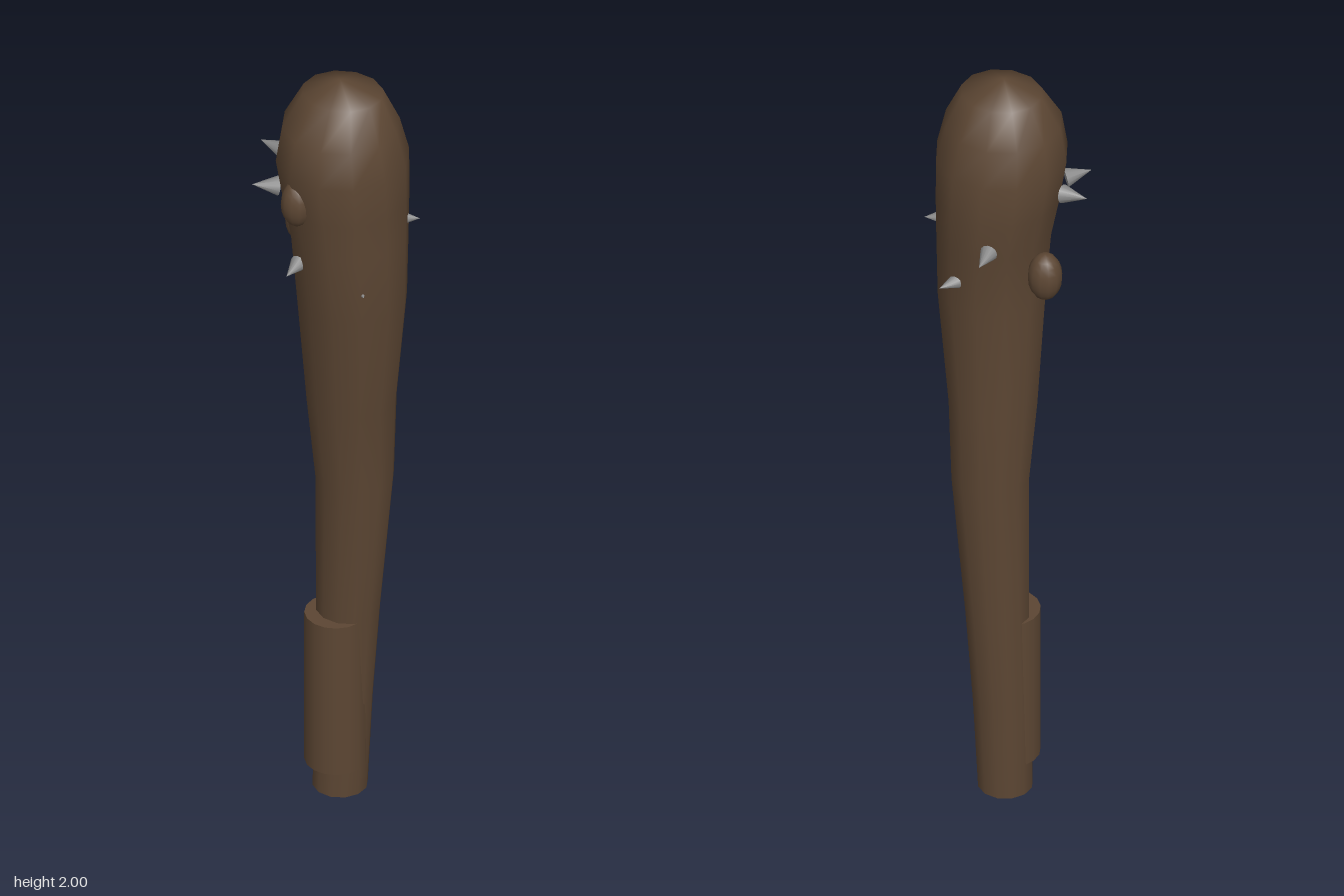
import * as THREE from 'three';

export function createModel() {
  const club = new THREE.Group();
  club.name = 'spikedClub';
  const wood = new THREE.MeshStandardMaterial({ color: 0x5c4633 });
  wood.name = 'brown wood';
  const metal = new THREE.MeshStandardMaterial({ color: 0x888888 });
  metal.name = 'grey metal';

  const add = (name, geometry, material) => {
    const mesh = new THREE.Mesh(geometry, material);
    mesh.name = name;
    club.add(mesh);
    return mesh;
  };

  // Trunk: twelve-sided loft; each row is y, min x, max x, min z, max z
  const sides = 12;
  const rings = [
    [0, -0.06, 0.07, -0.08, 0.05],
    [0.25, -0.057, 0.082, -0.085, 0.05],
    [0.5, -0.053, 0.1, -0.09, 0.053],
    [0.88, -0.05, 0.137, -0.096, 0.08],
    [1.1, -0.068, 0.146, -0.102, 0.102],
    [1.4, -0.08, 0.18, -0.1, 0.152],
    [1.58, -0.095, 0.18, -0.123, 0.165],
    [1.68, -0.114, 0.182, -0.13, 0.174],
    [1.79, -0.13, 0.183, -0.132, 0.187],
    [1.88, -0.115, 0.163, -0.105, 0.168],
    [1.965, -0.07, 0.123, -0.06, 0.112],
  ];
  const positions = [];
  const index = [];
  for (const [y, x0, x1, z0, z1] of rings) {
    for (let i = 0; i < sides; i++) {
      const a = (i / sides) * Math.PI * 2;
      positions.push((x0 + x1) / 2 + Math.sin(a) * (x1 - x0) / 2, y,
        (z0 + z1) / 2 + Math.cos(a) * (z1 - z0) / 2);
    }
  }
  for (let r = 0; r < rings.length - 1; r++) {
    for (let i = 0; i < sides; i++) {
      const a = r * sides + i;
      const b = r * sides + (i + 1) % sides;
      index.push(a, b, b + sides, a, b + sides, a + sides);
    }
  }
  // Rounded crown
  const apex = positions.length / 3;
  positions.push(0.022, 2, 0.03);
  const last = (rings.length - 1) * sides;
  for (let i = 0; i < sides; i++) index.push(last + i, last + (i + 1) % sides, apex);
  const trunk = new THREE.BufferGeometry();
  trunk.setAttribute('position', new THREE.Float32BufferAttribute(positions, 3));
  trunk.setIndex(index);
  trunk.computeVertexNormals();
  add('trunk', trunk, wood);

  // Flat underside of the trunk
  const base = add('trunkBase', new THREE.CircleGeometry(0.065, sides), wood);
  base.rotation.x = Math.PI / 2;
  base.position.set(0.005, 0, -0.015);

  // Grip sleeve around the lower trunk
  add('gripSleeve', new THREE.CylinderGeometry(0.073, 0.073, 0.41, 16), wood)
    .position.set(0.002, 0.287, 0.007);

  // Oval knots
  const knots = [
    [-0.043, 1.71, 0.144, 0.038, 0.06],
    [-0.106, 1.523, -0.063, 0.041, 0.063],
  ];
  for (const [x, y, z, r, h] of knots) {
    const knot = add('knot', new THREE.SphereGeometry(r, 12, 10), wood);
    knot.scale.y = h / r;
    knot.position.set(x, y, z);
  }

  // Metal spikes: base point, tip point, radius
  const spikes = [
    [[0.011, 1.61, -0.128], [0.016, 1.61, -0.19], 0.021],
    [[-0.135, 1.735, -0.018], [-0.198, 1.742, -0.03], 0.023],
    [[-0.112, 1.705, 0.083], [-0.165, 1.716, 0.115], 0.024],
    [[0.1, 1.485, -0.092], [0.13, 1.485, -0.132], 0.018],
    [[0.155, 1.61, -0.023], [0.195, 1.61, -0.036], 0.017],
    [[-0.046, 1.53, 0.125], [-0.055, 1.525, 0.181], 0.02],
    [[0.1, 1.483, 0.11], [0.123, 1.483, 0.145], 0.016],
  ];
  const up = new THREE.Vector3(0, 1, 0);
  for (const [from, to, radius] of spikes) {
    const start = new THREE.Vector3(...from);
    const end = new THREE.Vector3(...to);
    const axis = end.clone().sub(start);
    const spike = add('spike', new THREE.ConeGeometry(radius, axis.length(), 12), metal);
    spike.position.copy(start).lerp(end, 0.5);
    spike.quaternion.setFromUnitVectors(up, axis.normalize());
  }
  return club;
}
